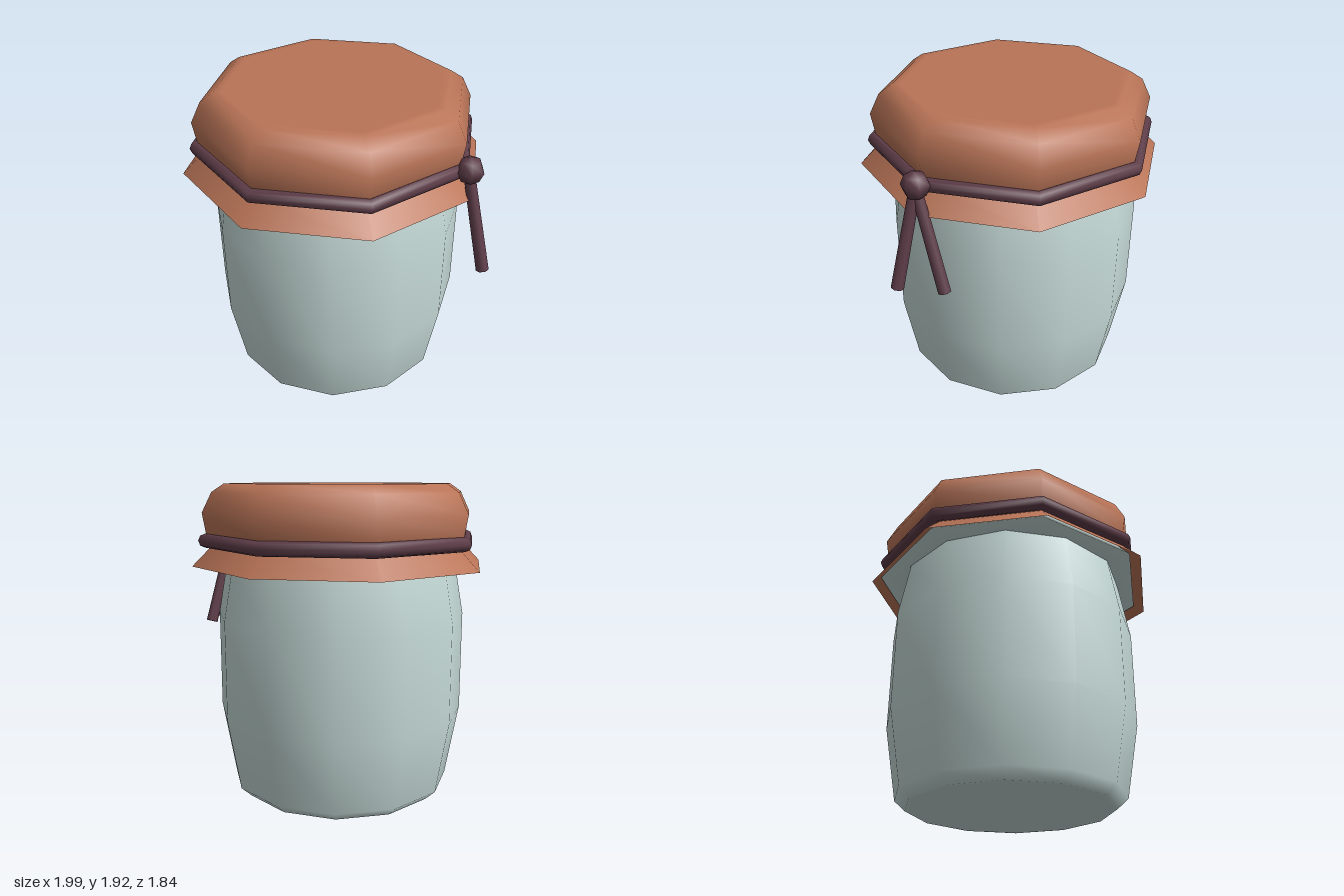
import * as THREE from 'three';

export function createModel() {
  const model = new THREE.Group();
  model.name = 'coveredJar';

  const make = (name, color, side = THREE.FrontSide) => {
    const m = new THREE.MeshStandardMaterial({ color, side });
    m.name = name;
    return m;
  };
  const glass = make('paleGlass', 0xc6dbd8);
  const cloth = make('terracottaCloth', 0xb97457, THREE.DoubleSide);
  const cord = make('plumCord', 0x5e3d49);

  const add = (name, geometry, material, x = -0.08, y = 0, z = -0.01) => {
    const mesh = new THREE.Mesh(geometry, material);
    mesh.name = name;
    mesh.position.set(x, y, z);
    model.add(mesh);
    return mesh;
  };
  // Turned shape from [radius, height] pairs, bottom to top
  const lathe = (points, sides) =>
    new THREE.LatheGeometry(points.map(([r, y]) => new THREE.Vector2(r, y)), sides);

  // Twelve-sided jar with chamfered base and drawn-in shoulder
  add('jarBody', lathe([
    [0, 0], [0.6, 0], [0.625, 0], [0.69, 0.06], [0.77, 0.51],
    [0.77, 1.12], [0.715, 1.43], [0.7, 1.52],
  ], 12), glass);

  // Jar rim hidden beneath the cloth
  add('jarRim', lathe([[0.64, 1.47], [0.86, 1.47], [0.78, 1.56]], 8), glass);

  // Puffed octagonal cover above the cord
  add('clothCover', lathe([
    [0.8, 1.54], [0.825, 1.63], [0.845, 1.75], [0.785, 1.87],
    [0.71, 1.92], [0.66, 1.921], [0, 1.921],
  ], 8), cloth);

  // Flared hem below the cord
  add('clothHem', lathe([[0.92, 1.43], [0.79, 1.56]], 8), cloth, -0.08, 0, 0);

  // Cord wrapped around the cover
  add('cordRing', new THREE.TorusGeometry(0.83, 0.042, 8, 8), cord, -0.08, 1.584)
    .rotation.x = Math.PI / 2;

  // Knot at the left side
  add('cordKnot', new THREE.SphereGeometry(0.083, 6, 4), cord, 0.8, 1.6, -0.01);

  // Two loose ends hanging from the knot
  const up = new THREE.Vector3(0, 1, 0);
  const tail = (name, end) => {
    const a = new THREE.Vector3(0.795, 1.59, -0.005);
    const b = new THREE.Vector3(...end);
    const dir = a.clone().sub(b);
    const mid = a.clone().add(b).multiplyScalar(0.5);
    const mesh = add(name, new THREE.CylinderGeometry(0.033, 0.038, dir.length(), 7), cord, mid.x, mid.y, mid.z);
    mesh.quaternion.setFromUnitVectors(up, dir.normalize());
  };
  tail('cordTailFront', [0.955, 1.0, 0.033]);
  tail('cordTailBack', [0.828, 1.0, -0.205]);

  return model;
}
